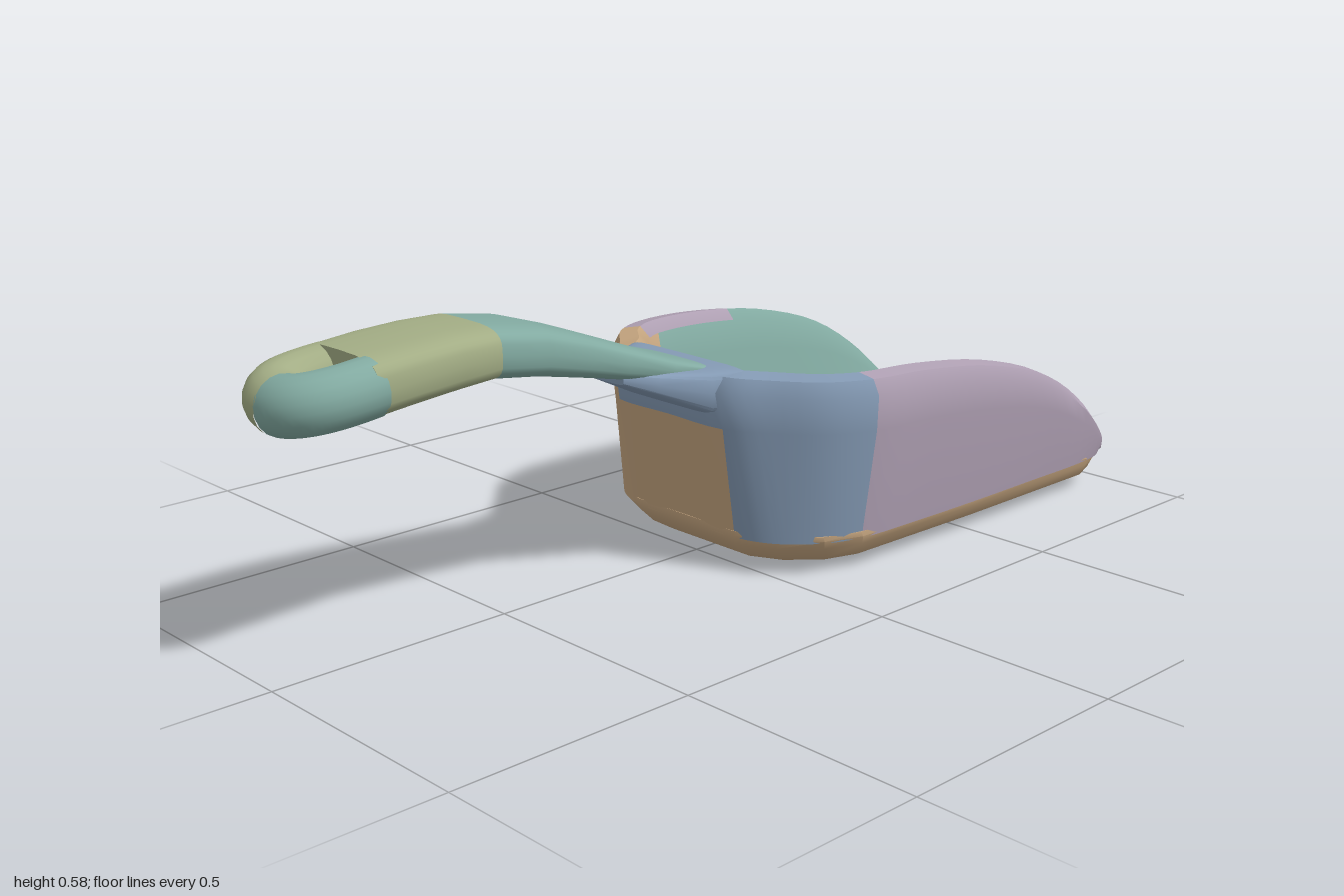
import * as THREE from 'three';
import { toCreasedNormals } from 'three/addons/utils/BufferGeometryUtils.js';

const V = (x, y, z) => new THREE.Vector3(x, y, z);
const lerp = THREE.MathUtils.lerp;

const paint = (name, color) => {
  const m = new THREE.MeshStandardMaterial({ color });
  m.name = name;
  return m;
};

// Closed, capped loft through rings of points; colourOf(i, j) picks a material index per quad
function loft(name, rings, materials, colourOf = () => 0, crease = 0.7) {
  const n = rings[0].length, pts = rings.flat(), tris = [];
  const add = (a, b, c, m) => tris.push([a, b, c, m]);
  for (let i = 0; i < rings.length - 1; i++) {
    for (let j = 0; j < n; j++) {
      const k = (j + 1) % n, m = colourOf(i, j);
      add(i * n + j, i * n + k, i * n + n + k, m);
      add(i * n + j, i * n + n + k, i * n + n + j, m);
    }
  }
  [0, rings.length - 1].forEach((r, e) => {
    const mid = pts.length;
    pts.push(rings[r].reduce((s, p) => s.add(p), V(0, 0, 0)).divideScalar(n));
    for (let j = 0; j < n; j++) {
      const a = r * n + j, b = r * n + (j + 1) % n;
      const m = colourOf(Math.max(0, r - 1), j);
      e ? add(a, b, mid, m) : add(b, a, mid, m);
    }
  });
  // turn the faces outward
  const volume = tris.reduce((s, [a, b, c]) => s + pts[a].dot(pts[b].clone().cross(pts[c])), 0);
  const geo = new THREE.BufferGeometry().setFromPoints(pts);
  const index = [];
  materials.forEach((_, m) => {
    const start = index.length;
    for (const t of tris) {
      if (t[3] === m) index.push(t[0], ...(volume < 0 ? [t[2], t[1]] : [t[1], t[2]]));
    }
    geo.addGroup(start, index.length - start, m);
  });
  geo.setIndex(index);
  const mesh = new THREE.Mesh(toCreasedNormals(geo, crease), materials);
  mesh.name = name;
  return mesh;
}

// Soft rectangular ring across the handle at x
function softRing([x, y0, y1, w], power, n = 28) {
  return Array.from({ length: n }, (_, i) => {
    const a = (i / n) * Math.PI * 2;
    const f = (v) => Math.sign(v) * Math.pow(Math.abs(v), 2 / power);
    return V(x, (y0 + y1) / 2 + f(Math.sin(a)) * (y1 - y0) / 2, f(Math.cos(a)) * w);
  });
}

export function createModel() {
  const group = new THREE.Group();
  group.name = 'scoop';
  const tan = paint('tan', 0xc6a680);
  const blue = paint('slate blue', 0x849ab4);
  const pink = paint('dusty mauve', 0xafa0b3);
  const teal = paint('sea green', 0x82aaa1);
  const olive = paint('olive', 0xa3ad85);

  // Floor: outline from back to front, mirrored, stacked in rounded layers
  const half = [[-0.035, 0.001], [-0.035, 0.14], [0, 0.22], [0.07, 0.29], [0.15, 0.32], [0.5, 0.33],
    [0.9, 0.33], [0.965, 0.305], [0.99, 0.23], [1, 0.001]];
  const outline = [...half, ...half.map(([x, z]) => [x, -z]).reverse()];
  // each layer: y, back x, front x, width factor
  const layers = [[0, 0.07, 0.95, 0.7], [0.006, 0.04, 0.975, 0.8], [0.03, 0, 0.997, 0.93],
    [0.055, -0.025, 1, 0.97], [0.075, -0.035, 0.99, 1], [0.085, -0.035, 0.97, 0.995]];
  group.add(loft('floor', layers.map(([y, b, f, w]) =>
    outline.map(([x, z]) => V(lerp(b, f, (x + 0.035) / 1.035), y, z * w))), [tan]));

  // Wall stations: outer bottom, outer top, inner top, inner bottom (x, z each), top height
  const stations = [
    [-0.03, 0, -0.09, 0, -0.02, 0, 0.06, 0, 0.417],
    [-0.03, 0.14, -0.085, 0.15, -0.01, 0.135, 0.06, 0.135, 0.415],
    [0, 0.22, -0.025, 0.225, 0.04, 0.18, 0.08, 0.16, 0.41],
    [0.07, 0.285, 0.05, 0.305, 0.09, 0.24, 0.11, 0.19, 0.408],
    [0.15, 0.315, 0.15, 0.35, 0.15, 0.275, 0.15, 0.215, 0.406],
    [0.3, 0.325, 0.3, 0.363, 0.3, 0.29, 0.3, 0.222, 0.4],
    [0.5, 0.33, 0.5, 0.366, 0.5, 0.3, 0.5, 0.235, 0.372],
    [0.7, 0.33, 0.7, 0.36, 0.7, 0.303, 0.7, 0.245, 0.31],
    [0.85, 0.33, 0.85, 0.35, 0.85, 0.298, 0.85, 0.252, 0.215],
    [0.94, 0.32, 0.94, 0.333, 0.94, 0.29, 0.94, 0.26, 0.125],
    [0.975, 0.3, 0.975, 0.31, 0.975, 0.28, 0.975, 0.265, 0.08],
  ];
  const section = ([ax, az, bx, bz, cx, cz, dx, dz, top], s) => {
    const base = 0.07, h = top - base, at = (x, y, z) => V(x, y, z * s);
    const mix = (t, y) => at(lerp(bx, cx, t), y, lerp(bz, cz, t));
    return [
      at(ax, base, az),
      at(lerp(ax, bx, 0.8), base + h * 0.68, lerp(az, bz, 0.92)),
      at(bx, top - h * 0.11, bz),
      mix(0.2, top - h * 0.02), mix(0.7, top),
      at(cx, top - h * 0.07, cz),
      at(lerp(cx, dx, 0.25), base + h * 0.72, lerp(cz, dz, 0.25)),
      at(dx, base, dz),
    ];
  };
  const ribs = [...stations.slice(1).reverse().map((s) => section(s, 1)),
    ...stations.map((s) => section(s, -1))];
  const steps = 4, count = (ribs.length - 1) * steps;
  const rails = ribs[0].map((_, j) => new THREE.CatmullRomCurve3(ribs.map((r) => r[j])));
  const rings = Array.from({ length: count + 1 }, (_, i) => rails.map((c) => c.getPoint(i / count)));
  // mauve left side, blue left corner, tan back with blue rim, tan right corner, green right side
  const wallColour = (i, j) => {
    const s = (i + 0.5) / steps;
    if (s < 6) return 2;
    if (s < 9) return 1;
    if (s < 11) return j >= 1 && j <= 5 ? 1 : 0;
    if (s > 13.25 && s < 15.5 && j >= 2 && j <= 4) return 2;
    return s < 14 ? 0 : 3;
  };
  group.add(loft('walls', rings, [tan, blue, pink, teal], wallColour));

  // Bracket joining the back wall to the handle
  group.add(loft('bracket', [[-0.27, 0.415, 0.44, 0.085], [-0.2, 0.385, 0.43, 0.108],
    [-0.09, 0.333, 0.418, 0.14], [-0.025, 0.335, 0.418, 0.17]].map((r) => softRing(r, 7)), [blue]));

  // Handle shaft and grip band: x, bottom, top, half width
  const shaft = [[-0.06, 0.395, 0.421, 0.1], [-0.15, 0.4, 0.45, 0.102], [-0.27, 0.423, 0.496, 0.104],
    [-0.36, 0.443, 0.53, 0.106], [-0.46, 0.464, 0.562, 0.108], [-0.57, 0.48, 0.58, 0.11]];
  const grip = [shaft[5], [-0.65, 0.476, 0.581, 0.114], [-0.74, 0.469, 0.577, 0.116],
    [-0.83, 0.46, 0.569, 0.115]];
  group.add(loft('handleShaft', shaft.map((r) => softRing(r, 3.6)), [teal]));
  group.add(loft('handleGrip', grip.map((r) => softRing(r, 3.6)), [olive]));

  // Hanging loop at the end, one half on each side
  [[1, teal, 'leftLoop'], [-1, olive, 'rightLoop']].forEach(([s, mat, name]) => {
    const curve = new THREE.QuadraticBezierCurve3(V(-0.815, 0.515, 0.066 * s),
      V(-0.945, 0.503, 0.078 * s), V(-0.945, 0.495, 0));
    const mesh = new THREE.Mesh(new THREE.TubeGeometry(curve, 20, 0.054, 18), mat);
    mesh.name = name;
    group.add(mesh);
  });
  return group;
}
